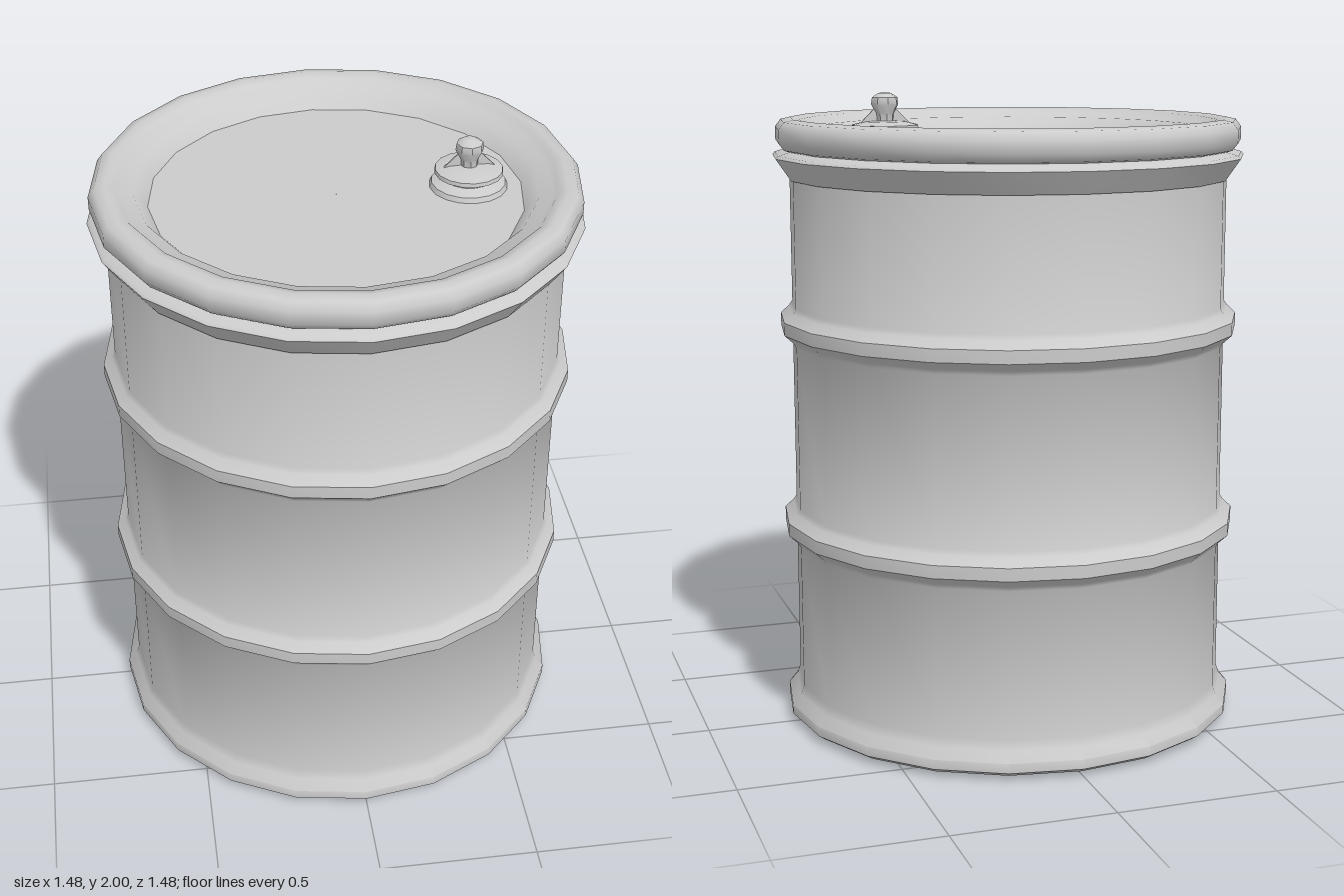
import * as THREE from 'three';
import { toCreasedNormals } from 'three/addons/utils/BufferGeometryUtils.js';

const material = new THREE.MeshStandardMaterial({ color: 0xcccccc, side: THREE.DoubleSide });

// Turned part from [radius, height] pairs
function turned(name, profile, sides, crease = 0.75) {
  const points = profile.map(([r, y]) => new THREE.Vector2(r, y));
  const mesh = new THREE.Mesh(toCreasedNormals(new THREE.LatheGeometry(points, sides), crease), material);
  mesh.name = name;
  return mesh;
}

// Rolled hoop pressed out of the drum wall
const hoop = (y) => [
  [0.69, y - 0.06], [0.7, y - 0.045], [0.727, y - 0.02], [0.727, y + 0.02], [0.7, y + 0.045], [0.69, y + 0.06],
];

export function createModel() {
  const drum = new THREE.Group();
  drum.name = 'drum';
  const sides = 20;

  // Wall with foot rim, two hoops and a recessed underside
  drum.add(turned('body', [
    [0.001, 0.035], [0.59, 0.035], [0.6, 0.015], [0.65, 0.005], [0.705, 0.015], [0.727, 0.03],
    [0.727, 0.06], [0.7, 0.09], [0.69, 0.12],
    ...hoop(0.64), ...hoop(1.28), [0.69, 1.82],
  ], sides));

  // Clamp band under the lid
  drum.add(turned('clampBand', [
    [0.685, 1.735], [0.695, 1.735], [0.742, 1.803], [0.735, 1.812], [0.69, 1.825],
  ], sides));

  // Lid with rolled rim and sunken top
  drum.add(turned('lid', [
    [0.69, 1.82], [0.715, 1.828], [0.732, 1.85], [0.732, 1.89], [0.715, 1.913], [0.685, 1.92],
    [0.655, 1.912], [0.64, 1.895], [0.6, 1.89], [0.56, 1.845], [0.001, 1.845],
  ], sides));

  // Filler plug on the lid
  const plug = new THREE.Group();
  plug.name = 'fillerPlug';
  plug.position.set(0.4, 0, -0.005);
  plug.add(turned('plugCap', [
    [0.118, 1.845], [0.112, 1.86], [0.075, 1.872], [0.075, 1.882], [0.104, 1.89], [0.102, 1.902],
    [0.06, 1.912], [0.001, 1.915],
  ], 16));
  plug.add(turned('plugKnob', [
    [0.026, 1.905], [0.028, 1.935], [0.043, 1.965], [0.04, 1.985], [0.02, 1.998], [0.001, 2.0],
  ], 8));

  // Thin grip fin across the knob
  const outline = new THREE.Shape([[-0.08, 1.905], [0.08, 1.905], [0.03, 1.955], [-0.03, 1.955]]
    .map(([x, y]) => new THREE.Vector2(x, y)));
  const fin = new THREE.Mesh(new THREE.ExtrudeGeometry(outline, { depth: 0.006, bevelEnabled: false }), material);
  fin.name = 'plugFin';
  fin.position.z = -0.003;
  plug.add(fin);
  drum.add(plug);

  return drum;
}
